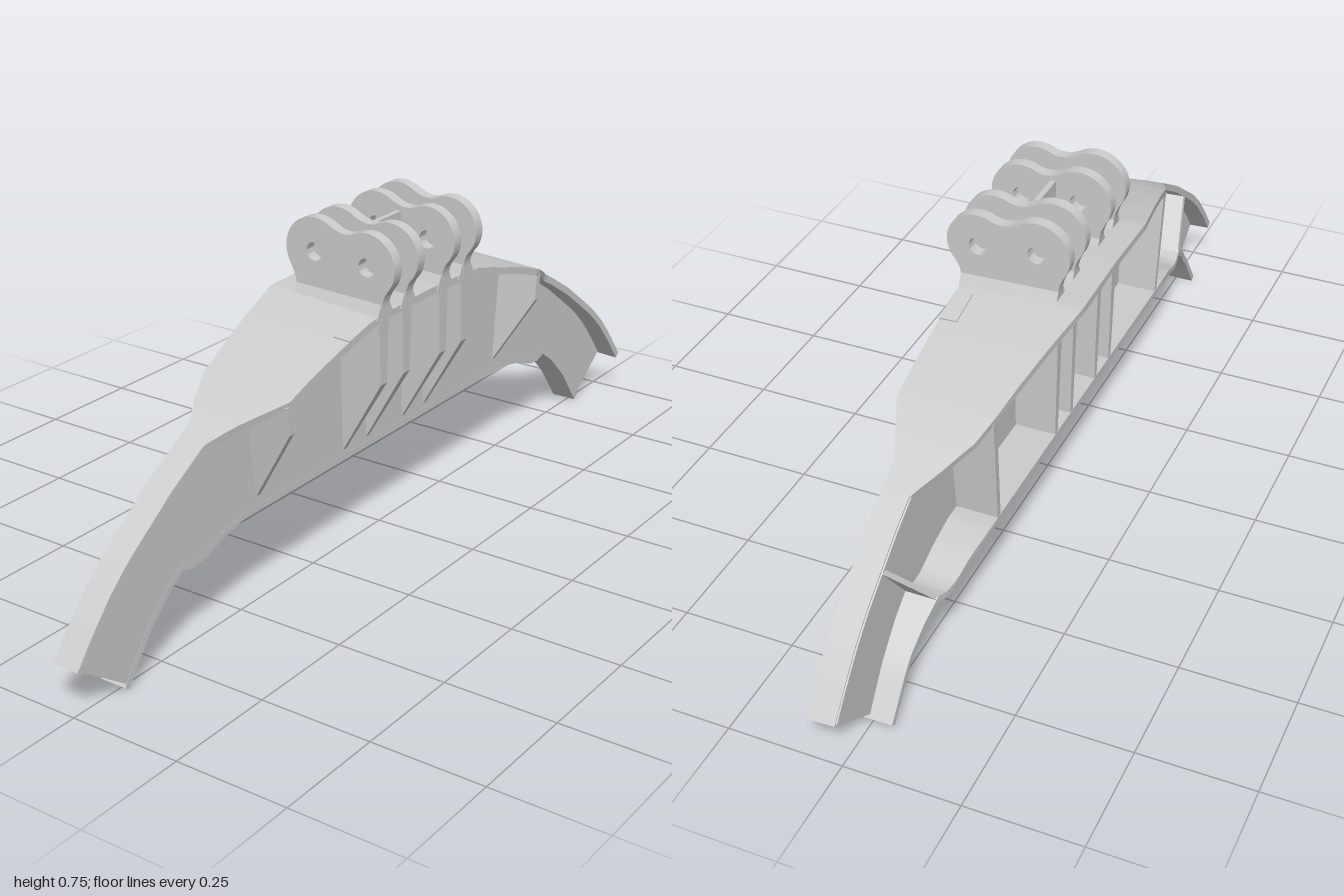
import * as THREE from 'three';
import { toCreasedNormals } from 'three/addons/utils/BufferGeometryUtils.js';

const material = new THREE.MeshStandardMaterial({ color: 0xcccccc });

// Linear lookup: rows of [z, value, ...], returns column c at z
function lookup(rows, z, c = 1) {
  let i = 1;
  while (i < rows.length - 1 && z > rows[i][0]) i++;
  const a = rows[i - 1], b = rows[i];
  const t = THREE.MathUtils.clamp((z - a[0]) / (b[0] - a[0]), 0, 1);
  return a[c] + (b[c] - a[c]) * t;
}

// Outer arch heights by distance from the middle
const CROWN = [[0, 0.583], [0.18, 0.578], [0.3, 0.55], [0.4, 0.522], [0.48, 0.494], [0.56, 0.456],
  [0.64, 0.412], [0.72, 0.363], [0.79, 0.312], [0.85, 0.268], [0.9, 0.222], [0.95, 0.166], [1, 0.102]];
const BELLY = [[0, 0.215], [0.5, 0.215], [0.57, 0.2], [0.63, 0.177], [0.67, 0.174], [0.69, 0.185],
  [0.74, 0.15], [0.8, 0.09], [0.865, 0]];
const crown = z => lookup(CROWN, Math.abs(z));
const belly = z => lookup(BELLY, Math.abs(z));

// Edges of the flanges: [z, right edge, left edge]
const TOP_EDGES = [[-1, 0.01, 0.07], [-0.66, 0.01, 0.07], [-0.6, -0.035, 0.07], [-0.54, -0.075, 0.096],
  [-0.48, -0.095, 0.122], [-0.18, -0.155, 0.122], [0.18, -0.155, 0.122], [0.48, -0.095, 0.122],
  [0.54, -0.07, 0.075], [0.58, -0.047, 0.045], [0.62, -0.042, 0.02], [1, -0.042, 0.017]];
const BOTTOM_EDGES = [[0, -0.087], [0.5, -0.087], [0.67, -0.066], [0.78, -0.047], [0.865, -0.044]];

// Curved strip along z; thickness is measured square to the slope
function strip(z0, z1, steps, height, edges, up, down, tilt) {
  const pos = [], index = [];
  for (let i = 0; i <= steps; i++) {
    const z = z0 + (z1 - z0) * i / steps, e = 0.012;
    const a = Math.max(z - e, z0), b = Math.min(z + e, z1);
    const n = new THREE.Vector2(height(a) - height(b), b - a).normalize();
    const [l, r] = edges(z);
    for (const [x, d] of [[l, up], [r, up], [r, -down], [l, -down]])
      pos.push(x, height(z) - tilt * x + n.y * d, z + n.x * d);
    if (i) for (let k = 0; k < 4; k++) {
      const p = (i - 1) * 4 + k, q = (i - 1) * 4 + (k + 1) % 4;
      index.push(p, p + 4, q + 4, p, q + 4, q);
    }
  }
  const m = steps * 4;
  index.push(0, 1, 2, 0, 2, 3, m, m + 2, m + 1, m, m + 3, m + 2);
  const g = new THREE.BufferGeometry();
  g.setAttribute('position', new THREE.Float32BufferAttribute(pos, 3));
  g.setIndex(index);
  return toCreasedNormals(g, 0.5);
}

// Cross plate from an outline in x and y, tapering from t0 to t1 and leaning with height
function crossPlate(points, z, t0, t1, lean = 0) {
  const g = new THREE.ExtrudeGeometry(new THREE.Shape(points.map(p => new THREE.Vector2(...p))),
    { depth: 1, bevelEnabled: false }).translate(0, 0, -0.5);
  g.computeBoundingBox();
  const { min, max } = g.boundingBox, p = g.attributes.position;
  for (let i = 0; i < p.count; i++) {
    const k = (p.getY(i) - min.y) / (max.y - min.y);
    p.setZ(i, z + p.getZ(i) * (t0 + (t1 - t0) * k) + lean * k);
  }
  g.computeVertexNormals();
  return g;
}

// Two-lobed lug with a pin hole in each lobe
function lugGeometry(depth) {
  const s = new THREE.Shape(), rad = THREE.MathUtils.degToRad;
  s.moveTo(-0.095, 0.56);
  s.lineTo(-0.095, 0.6);
  s.quadraticCurveTo(-0.095, 0.616, -0.107, 0.638);
  s.absarc(-0.047, 0.68, 0.073, rad(215), rad(60), true);
  s.quadraticCurveTo(0.025, 0.722, 0.055, 0.735);
  s.absarc(0.085, 0.672, 0.07, rad(115), rad(-35), true);
  s.quadraticCurveTo(0.125, 0.612, 0.125, 0.59);
  s.lineTo(0.125, 0.56);
  for (const [x, y] of [[-0.047, 0.678], [0.085, 0.668]]) {
    const hole = new THREE.Path();
    hole.absarc(x, y, 0.02, 0, Math.PI * 2, false);
    s.holes.push(hole);
  }
  const g = new THREE.ExtrudeGeometry(s, { depth, bevelEnabled: false, curveSegments: 24 });
  return toCreasedNormals(g.translate(0, 0, -depth / 2), 0.6);
}

export function createModel() {
  const model = new THREE.Group();
  model.name = 'archedBracket';
  const add = (name, geometry) => {
    const mesh = new THREE.Mesh(geometry, material);
    mesh.name = name;
    model.add(mesh);
    return mesh;
  };

  // Flanges along the arch
  add('topFlange', strip(-1, 1, 100, crown,
    z => [lookup(TOP_EDGES, z, 1), lookup(TOP_EDGES, z, 2)], 0, 0.016, 0.05));
  add('bottomFlange', strip(-0.865, 0.865, 120, belly,
    z => [lookup(BOTTOM_EDGES, Math.abs(z)), 0.018], 0.014, 0, 0));

  // Upright web joining the flanges
  const steps = 50, outline = [];
  for (let i = -steps; i <= steps; i++) {
    const z = i / steps * 0.995;
    outline.push(new THREE.Vector2(z, crown(z) - 0.005));
  }
  for (let i = steps; i >= -steps; i--) {
    const z = i / steps * 0.862;
    outline.push(new THREE.Vector2(z, belly(z) + 0.004));
  }
  const web = new THREE.ExtrudeGeometry(new THREE.Shape(outline), { depth: 0.011, bevelEnabled: false });
  add('web', toCreasedNormals(web.rotateY(-Math.PI / 2).translate(0.0175, 0, 0), 0.5));

  // Lugs with flared feet, and the ribs that carry them
  const lug = lugGeometry(0.026);
  for (const z of [-0.155, -0.07, 0.07, 0.155]) {
    add('lug', lug).position.z = z;
    add('lugFoot', crossPlate([[-0.095, 0.572], [0.124, 0.565], [0.124, 0.595], [-0.095, 0.602]], z, 0.06, 0.026));
    add('outerRib', crossPlate([[0.01, 0.24], [0.018, 0.24], [0.12, 0.415], [0.12, 0.566], [0.01, 0.566]], z, 0.012, 0.034));
    add('pocketRib', crossPlate([[-0.086, 0.222], [0.01, 0.222], [0.01, 0.57], [-0.11, 0.57], [-0.093, 0.47]], z, 0.014, 0.024));
  }

  // Plate between the two inner lugs
  const tie = new THREE.BoxGeometry(0.012, 0.15, 0.13);
  add('lugTie', tie.translate(0.012, 0.645, 0));

  for (const s of [-1, 1]) {
    // Leaning ribs closing each end of the middle section
    add('outerEndRib', crossPlate([[0.01, 0.25], [0.018, 0.25], [0.12, 0.415], [0.12, 0.476], [0.01, 0.482]],
      s * 0.455, 0.014, 0.016, s * 0.025));
    add('pocketEndWall', crossPlate([[-0.086, 0.222], [0.01, 0.222], [0.01, 0.482], [-0.093, 0.484]],
      s * 0.455, 0.014, 0.016, s * 0.025));
    // Slanted gusset where the arm begins
    const topX = s > 0 ? -0.041 : 0.004;
    add('armGusset', crossPlate([[-0.062, 0.19], [0.012, 0.19], [0.012, 0.308], [topX, 0.308]],
      s * 0.69, 0.014, 0.014, s * 0.09));
    // Low pad on the left edge of the top flange
    const [a, b] = s > 0 ? [0.2, 0.28] : [-0.28, -0.2];
    add('flangePad', strip(a, b, 4, crown, () => [0.083, 0.123], 0.003, 0.01, 0.05));
  }
  return model;
}
